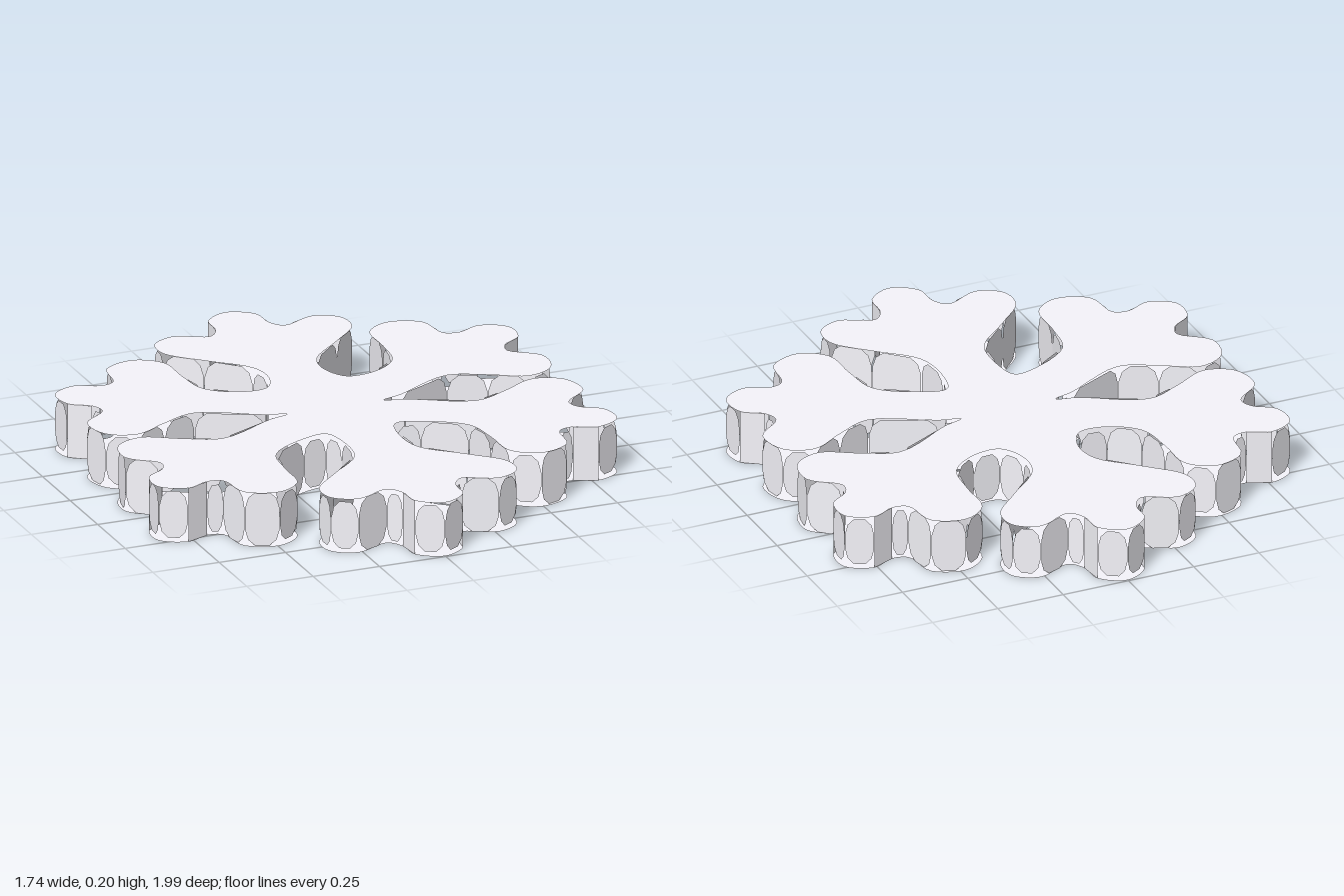
import * as THREE from 'three';
import { mergeGeometries } from 'three/addons/utils/BufferGeometryUtils.js';

const HEIGHT = 0.2;
// Half of one arm: [distance from the arm's axis, distance from the centre]
const END_ARM = [
  [0.12, 0.46], [0.25, 0.59], [0.355, 0.705], [0.35, 0.8],
  [0.265, 0.848], [0.14, 0.8], [0.1, 0.85], [0.09, 0.94], [0, 0.995],
];
const SIDE_ARM = [
  [0.12, 0.48], [0.23, 0.57], [0.35, 0.65], [0.36, 0.76],
  [0.265, 0.838], [0.14, 0.8], [0.1, 0.84], [0.088, 0.93], [0, 0.985],
];
// Arms clockwise from the back, each with the depth of the slot after it
const ARMS = [
  { angle: 0, half: END_ARM, slot: 0.305 },
  { angle: 60, half: SIDE_ARM, slot: 0.18 },
  { angle: 118.8, half: SIDE_ARM, slot: 0.26 },
  { angle: 180, half: END_ARM, slot: 0.26 },
  { angle: 241.2, half: SIDE_ARM, slot: 0.18 },
  { angle: 300, half: SIDE_ARM, slot: 0.305 },
];

// Corner points of the whole outline, clockwise, with y towards the back.
// The straight sides of each arm's tip are marked for full-height panels.
function outlineKeys() {
  const keys = [];
  ARMS.forEach(({ angle, half, slot }, i) => {
    const slotBefore = ARMS[(i + 5) % 6].slot;
    const arm = [
      [-0.105, slotBefore + 0.05],
      ...half.map(([u, r]) => [-u, r]),
      ...half.slice(0, -1).reverse(),
      [0.105, slot + 0.05],
      [slot * 0.5, slot * 0.866],
    ];
    const a = THREE.MathUtils.degToRad(angle), c = Math.cos(a), s = Math.sin(a);
    arm.forEach(([u, r], k) => keys.push({
      point: new THREE.Vector3(u * c + r * s, r * c - u * s, 0),
      straight: k === half.length - 2 || k === half.length + 1,
    }));
  });
  return keys;
}

// Upright wall panel, with clipped corners unless it is straight
function panelGeometry(w, straight) {
  if (straight) return new THREE.ShapeGeometry(new THREE.Shape([
    new THREE.Vector2(-w / 2, -HEIGHT / 2), new THREE.Vector2(w / 2, -HEIGHT / 2),
    new THREE.Vector2(w / 2, HEIGHT / 2), new THREE.Vector2(-w / 2, HEIGHT / 2),
  ]));
  const h = w < 0.11 ? 0.087 : HEIGHT / 2;
  const cut = Math.min(w * 0.3, 0.04), x = w / 2;
  const quarter = [
    [x, h - 0.06], [x - cut * 0.3, h - 0.022], [x - cut, h],
  ];
  const back = [...quarter].reverse();
  const pts = [
    ...quarter,
    ...back.map(([px, py]) => [-px, py]),
    ...quarter.map(([px, py]) => [-px, -py]),
    ...back.map(([px, py]) => [px, -py]),
  ].map(([px, py]) => new THREE.Vector2(px, py));
  return new THREE.ShapeGeometry(new THREE.Shape(pts));
}

export function createModel() {
  const model = new THREE.Group();
  model.name = 'snowflake';
  const material = new THREE.MeshStandardMaterial({ color: 0xf7f6fc, side: THREE.DoubleSide });
  const add = (name, geometry) => {
    const mesh = new THREE.Mesh(geometry, material);
    mesh.name = name;
    model.add(mesh);
    return mesh;
  };

  const keys = outlineKeys();
  const edge = new THREE.CatmullRomCurve3(keys.map((k) => k.point), true)
    .getPoints(keys.length * 5).slice(0, -1);
  const plate = (flip) => new THREE.ShapeGeometry(
    new THREE.Shape(edge.map((p) => new THREE.Vector2(p.x, p.y * flip))));

  // Flat faces
  add('topFace', plate(1).rotateX(-Math.PI / 2)).position.y = HEIGHT;
  add('bottomFace', plate(-1).rotateX(Math.PI / 2));

  // Separate wall panels along the rim, with open gaps at their corners
  const panels = keys.map(({ point: a, straight }, i) => {
    const b = keys[(i + 1) % keys.length].point;
    const dx = b.x - a.x, dy = b.y - a.y;
    return panelGeometry(Math.hypot(dx, dy) * 0.98, straight)
      .rotateY(Math.atan2(-dy, -dx))
      .translate((a.x + b.x) / 2, HEIGHT / 2, -(a.y + b.y) / 2);
  });
  add('rimPanels', mergeGeometries(panels));

  return model;
}
